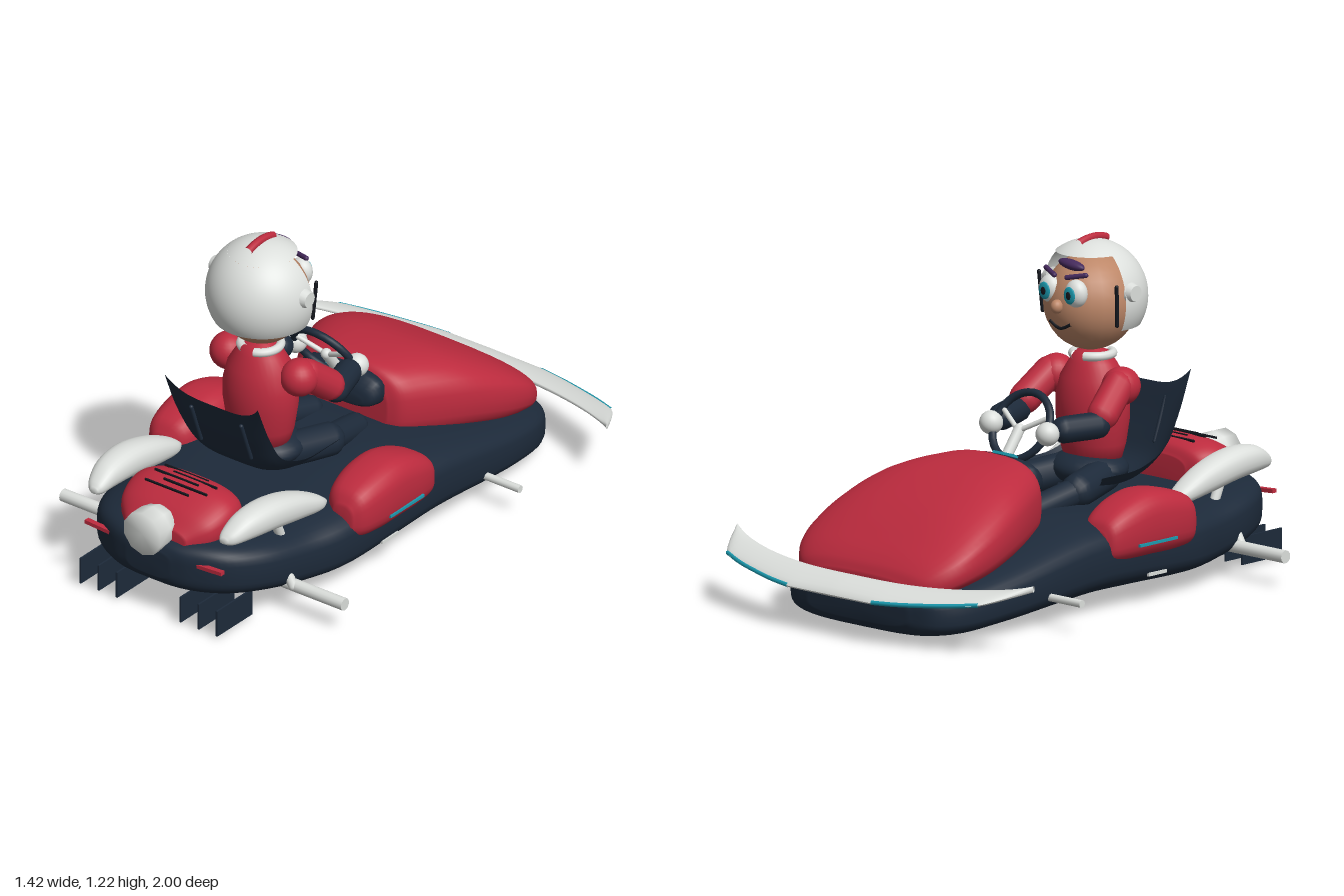
import * as THREE from 'three';

const mat = (name, color) => {
  const m = new THREE.MeshStandardMaterial({ color });
  m.name = name;
  return m;
};

export function createModel() {
  const navy = mat('navy', 0x1d2a3a), red = mat('red', 0xbd2b3e), white = mat('white', 0xdcdfdc);
  const skin = mat('skin', 0xbd8768), teal = mat('teal', 0x1b9bb0), purple = mat('purple', 0x452a5c);
  const black = mat('black', 0x14171e);
  const shell = mat('white shell', 0xdcdfdc), seatMat = mat('seat navy', 0x1d2a3a);
  shell.side = seatMat.side = THREE.DoubleSide;

  const root = new THREE.Group();
  root.name = 'kart';
  const V = (x, y, z) => new THREE.Vector3(x, y, z);

  function add(name, geo, material, pos = [0, 0, 0], rot = [0, 0, 0], scale = [1, 1, 1]) {
    const m = new THREE.Mesh(geo, material);
    m.name = name;
    m.position.set(...pos);
    m.rotation.set(...rot);
    m.scale.set(...scale);
    root.add(m);
    return m;
  }
  const ball = (name, material, pos, scale, rot) =>
    add(name, new THREE.SphereGeometry(1, 24, 16), material, pos, rot, scale);
  const box = (name, material, pos, size, rot) => add(name, new THREE.BoxGeometry(...size), material, pos, rot);
  const lathe = (pts, n) => new THREE.LatheGeometry(pts.map(p => new THREE.Vector2(...p)), n);
  const tube = (name, material, pts, r) =>
    add(name, new THREE.TubeGeometry(new THREE.CatmullRomCurve3(pts), 16, r, 6), material);

  // Rounded rod between two points
  function limb(name, material, a, b, r) {
    const p = V(...a), q = V(...b), d = q.clone().sub(p);
    const m = add(name, new THREE.CapsuleGeometry(r, d.length(), 6, 14), material);
    m.position.copy(p).add(q).multiplyScalar(0.5);
    m.quaternion.setFromUnitVectors(V(0, 1, 0), d.normalize());
  }

  // Smooth body through superellipse sections [z, centreX, halfWidth, bottom, top]
  function loft(name, material, rows, power, steps = 40, n = 40) {
    const zx = new THREE.CatmullRomCurve3(rows.map(r => V(r[0], r[1], r[2])), false, 'centripetal');
    const yy = new THREE.CatmullRomCurve3(rows.map(r => V(r[0], r[3], r[4])), false, 'centripetal');
    const pos = [], idx = [];
    const rd = t => Math.sign(t) * Math.abs(t) ** (2 / power);
    for (let i = 0; i <= steps; i++) {
      const p = zx.getPoint(i / steps), h = yy.getPoint(i / steps);
      for (let j = 0; j < n; j++) {
        const a = j / n * Math.PI * 2;
        pos.push(p.y + p.z * rd(Math.cos(a)), (h.y + h.z) / 2 + (h.z - h.y) / 2 * rd(Math.sin(a)), p.x);
        if (i < steps) {
          const A = i * n + j, B = i * n + (j + 1) % n;
          idx.push(A, B, B + n, A, B + n, A + n);
        }
      }
    }
    for (const end of [0, 1]) {
      const r = rows[end ? rows.length - 1 : 0], c = pos.length / 3, o = end * steps * n;
      pos.push(r[1], (r[3] + r[4]) / 2, r[0]);
      for (let j = 0; j < n; j++) {
        const A = o + j, B = o + (j + 1) % n;
        idx.push(c, end ? A : B, end ? B : A);
      }
    }
    const g = new THREE.BufferGeometry();
    g.setAttribute('position', new THREE.Float32BufferAttribute(pos, 3));
    g.setIndex(idx);
    g.computeVertexNormals();
    return add(name, g, material);
  }

  // Sheet f(u, v) -> [x, y, z], u and v in 0..1
  function sheet(name, material, f, nu, nv) {
    const g = new THREE.PlaneGeometry(1, 1, nu, nv), p = g.attributes.position;
    for (let i = 0; i < p.count; i++) p.setXYZ(i, ...f(p.getX(i) + 0.5, p.getY(i) + 0.5));
    g.computeVertexNormals();
    return add(name, g, material);
  }

  // Hull, hood and engine cover
  loft('hull', navy, [
    [-0.86, 0, 0.23, 0.04, 0.13], [-0.83, 0, 0.34, 0.01, 0.165], [-0.74, 0, 0.41, 0.0, 0.19],
    [-0.55, 0, 0.45, 0.012, 0.23], [-0.1, 0, 0.46, 0.04, 0.32], [0.1, 0, 0.46, 0.04, 0.315],
    [0.4, 0, 0.45, 0.037, 0.29], [0.55, 0, 0.415, 0.045, 0.285], [0.75, 0, 0.37, 0.08, 0.305],
    [0.88, 0, 0.29, 0.105, 0.31], [0.95, 0, 0.17, 0.13, 0.29], [0.97, 0, 0.09, 0.16, 0.26]], 3.6, 60, 48);
  loft('hood', red, [
    [-0.85, 0, 0.22, 0.12, 0.2], [-0.82, 0, 0.31, 0.12, 0.25], [-0.74, 0, 0.375, 0.13, 0.32],
    [-0.6, 0, 0.39, 0.14, 0.415], [-0.42, 0, 0.355, 0.17, 0.495], [-0.25, 0, 0.28, 0.2, 0.52],
    [-0.17, 0, 0.23, 0.22, 0.515], [-0.145, 0, 0.18, 0.25, 0.48]], 2.8);
  loft('engineCover', red, [
    [0.655, 0, 0.13, 0.28, 0.38], [0.68, 0, 0.19, 0.26, 0.42], [0.76, 0, 0.22, 0.25, 0.44],
    [0.86, 0, 0.2, 0.25, 0.4], [0.93, 0, 0.13, 0.25, 0.34]], 2.8);
  for (let i = 0; i < 5; i++)
    box('coolingSlit', black, [i % 2 ? 0.03 : -0.03, [0.432, 0.438, 0.44, 0.436, 0.426][i], 0.71 + i * 0.028],
      [0.19, 0.008, 0.006], [[-0.3, -0.1, 0, 0.2, 0.35][i], 0, 0]);

  // Exhaust
  add('exhaust', lathe([[0, -0.07], [0.04, -0.065], [0.075, -0.02], [0.083, 0.02], [0.083, 0.08], [0, 0.08]], 10),
    white, [0, 0.33, 0.92], [Math.PI / 2, 0, 0]);

  // Curved nose wing with stripes along the leading edge
  const wing = (x, t) => {
    const a = Math.abs(x);
    const front = -1 + 0.11 * (Math.max(0, a - 0.2) / 0.4) ** 1.3 + 0.13 * (Math.max(0, a - 0.58) / 0.13) ** 1.5;
    const back = -0.86 + 0.15 * (a / 0.71) ** 2.6;
    const z = front + (back - front) * t;
    return [x, 0.15 + (z + 1) * 0.29, z];
  };
  sheet('noseWing', shell, (u, v) => {
    const a = v * Math.PI * 2;
    const p = wing((u - 0.5) * 1.42, 0.5 - 0.5 * Math.cos(a));
    return [p[0], p[1] - Math.sin(a) * 0.022 * (1 - 0.5 * Math.abs(2 * u - 1)), p[2]];
  }, 60, 16);
  for (const s of [-1, 1])
    tube('wingStripe', teal, [0.2, 0.3, 0.4, 0.5, 0.6].map(x => V(...wing(s * x, 0.03))), 0.008);

  for (const s of [-1, 1]) {
    // Side pods
    loft('sidePod', red, [
      [-0.07, s * 0.4, 0.04, 0.2, 0.28], [-0.05, s * 0.395, 0.075, 0.175, 0.32], [0.02, s * 0.39, 0.1, 0.165, 0.365],
      [0.14, s * 0.39, 0.108, 0.165, 0.4], [0.26, s * 0.39, 0.105, 0.165, 0.385],
      [0.35, s * 0.395, 0.08, 0.175, 0.35], [0.385, s * 0.4, 0.04, 0.2, 0.3]], 2.8, 28, 28);
    box('podStripe', teal, [s * 0.495, 0.227, 0.14], [0.009, 0.01, 0.19]);
    box('sillStrip', white, [s * 0.45, 0.103, 0.18], [0.009, 0.012, 0.09]);
    // Rear fenders
    loft('fender', white, [
      [0.385, s * 0.32, 0.015, 0.29, 0.31], [0.43, s * 0.318, 0.04, 0.285, 0.345], [0.55, s * 0.312, 0.057, 0.3, 0.405],
      [0.7, s * 0.308, 0.062, 0.325, 0.44], [0.82, s * 0.3, 0.052, 0.335, 0.43],
      [0.89, s * 0.29, 0.033, 0.34, 0.39], [0.91, s * 0.285, 0.015, 0.35, 0.37]], 2.3, 28, 24);
    limb('fenderMount', white, [s * 0.31, 0.27, 0.62], [s * 0.31, 0.36, 0.66], 0.018);
    limb('suspensionArm', white, [s * 0.36, 0.18, 0.66], [s * 0.4, 0.11, 0.66], 0.018);
    // Axles
    add('rearAxle', new THREE.CylinderGeometry(0.023, 0.023, 0.28, 14), white, [s * 0.48, 0.108, 0.65], [0, 0, Math.PI / 2]);
    add('frontAxle', new THREE.CylinderGeometry(0.014, 0.014, 0.24, 12), white, [s * 0.485, 0.105, -0.36], [0, 0, Math.PI / 2]);
    // Rear lights and diffuser fins
    box('rearLight', red, [s * 0.245, 0.243, 0.93], [0.11, 0.014, 0.02], [0, 0, s * 0.06]);
    for (const x of [0.14, 0.22, 0.3]) box('diffuserFin', navy, [s * x, 0.06, 0.865], [0.007, 0.1, 0.2]);
  }

  // Seat shell with raised, forward-wrapped sides
  const spine = new THREE.CatmullRomCurve3([V(0, 0.34, 0.2), V(0, 0.345, 0.38), V(0, 0.4, 0.49), V(0, 0.5, 0.54), V(0, 0.655, 0.59)]);
  sheet('seat', seatMat, (u, v) => {
    const p = spine.getPoint(v), w = 2 * u - 1, e = Math.abs(w) ** 4;
    return [w * (0.215 - 0.01 * v), p.y + e * 0.065, p.z - e * 0.05 * (1 - v) + e * 0.02 * v];
  }, 24, 24);
  for (const s of [-1, 1])
    limb('seatRib', navy, [s * 0.11, 0.46, 0.527], [s * 0.11, 0.61, 0.582], 0.008);

  // Steering wheel, column and dash
  add('steeringWheel', new THREE.TorusGeometry(0.125, 0.014, 10, 32), navy, [0, 0.59, -0.03], [0.52, 0, 0]);
  for (const a of [0.4, 2.74, 4.71])
    limb('wheelSpoke', white, [0, 0.575, -0.045],
      [0.11 * Math.cos(a), 0.59 + 0.11 * Math.sin(a) * 0.87, -0.03 + 0.11 * Math.sin(a) * 0.5], 0.009);
  limb('steeringColumn', white, [0, 0.58, -0.04], [0, 0.46, -0.13], 0.02);
  loft('dash', navy, [[-0.19, 0, 0.16, 0.36, 0.48], [-0.13, 0, 0.175, 0.37, 0.505], [-0.09, 0, 0.16, 0.38, 0.47],
    [-0.075, 0, 0.12, 0.39, 0.43]], 3, 12, 24);
  box('dashPanel', teal, [0, 0.495, -0.105], [0.1, 0.015, 0.04], [0.5, 0, 0]);

  // Driver body
  add('torso', lathe([[0, 0.4], [0.75, 0.41], [0.9, 0.48], [1, 0.57], [1, 0.64], [0.88, 0.71], [0.64, 0.765],
    [0.45, 0.8], [0, 0.82]], 32), red, [0, 0, 0.33], [0, 0, 0], [0.142, 1, 0.115]);
  ball('hips', navy, [0, 0.39, 0.31], [0.15, 0.065, 0.13]);
  for (const s of [-1, 1]) {
    add('collar', new THREE.TorusGeometry(0.07, 0.016, 10, 20, 2.5), white, [0, 0.792, 0.33], [Math.PI / 2, 0, 0])
      .geometry.rotateZ(s > 0 ? -1.25 : Math.PI - 1.25);
    ball('shoulder', red, [s * 0.155, 0.7, 0.31], [0.068, 0.068, 0.07]);
    limb('upperArm', red, [s * 0.165, 0.705, 0.285], [s * 0.187, 0.625, 0.185], 0.056);
    limb('forearm', navy, [s * 0.19, 0.592, 0.15], [s * 0.15, 0.59, 0.03], 0.048);
    ball('glove', white, [s * 0.135, 0.583, -0.04], [0.042, 0.042, 0.042]);
    limb('thigh', navy, [s * 0.08, 0.375, 0.3], [s * 0.13, 0.355, 0.12], 0.062);
    limb('shin', navy, [s * 0.13, 0.355, 0.12], [s * 0.1, 0.31, -0.07], 0.05);
  }

  // Head and face, looking towards the nose of the kart
  ball('head', skin, [0, 0.98, 0.32], [0.165, 0.172, 0.168]);
  ball('nose', skin, [0, 0.985, 0.15], [0.022, 0.025, 0.025]);
  ball('hairTuft', purple, [-0.03, 1.132, 0.192], [0.06, 0.018, 0.022], [0, 0, 0.1]);
  tube('mouth', black, [V(-0.05, 0.925, 0.168), V(0, 0.905, 0.166), V(0.05, 0.925, 0.168)], 0.006);
  for (const s of [-1, 1]) {
    ball('eye', white, [s * 0.062, 1.035, 0.182], [0.044, 0.05, 0.036]);
    ball('iris', teal, [s * 0.06, 1.033, 0.149], [0.026, 0.031, 0.007]);
    ball('pupil', black, [s * 0.06, 1.033, 0.144], [0.012, 0.015, 0.004]);
    limb('eyebrow', purple, [s * 0.03, 1.09, 0.168], [s * 0.095, 1.103, 0.195], 0.009);
    limb('strap', black, [s * 0.178, 0.925, 0.265], [s * 0.186, 1.065, 0.255], 0.007);
    add('earCap', new THREE.CylinderGeometry(0.028, 0.036, 0.025, 16), white, [s * 0.2, 1.035, 0.325], [0, 0, -s * Math.PI / 2]);
  }

  // Open-faced helmet: full crown over a wraparound band
  const crown = 0.66, rim = 2.09;
  add('helmetCrown', new THREE.SphereGeometry(0.2, 40, 10, 0, Math.PI * 2, 0, crown), shell, [0, 1, 0.32]);
  add('helmetBand', new THREE.SphereGeometry(0.2, 32, 20, -0.15, Math.PI + 0.3, crown, rim - crown), shell, [0, 1, 0.32]);
  add('helmetCrest', new THREE.TorusGeometry(0.203, 0.015, 8, 16, 0.7), red, [0, 1, 0.33], [0, Math.PI / 2, 0])
    .geometry.rotateZ(Math.PI / 2 - 0.35);

  return root;
}
